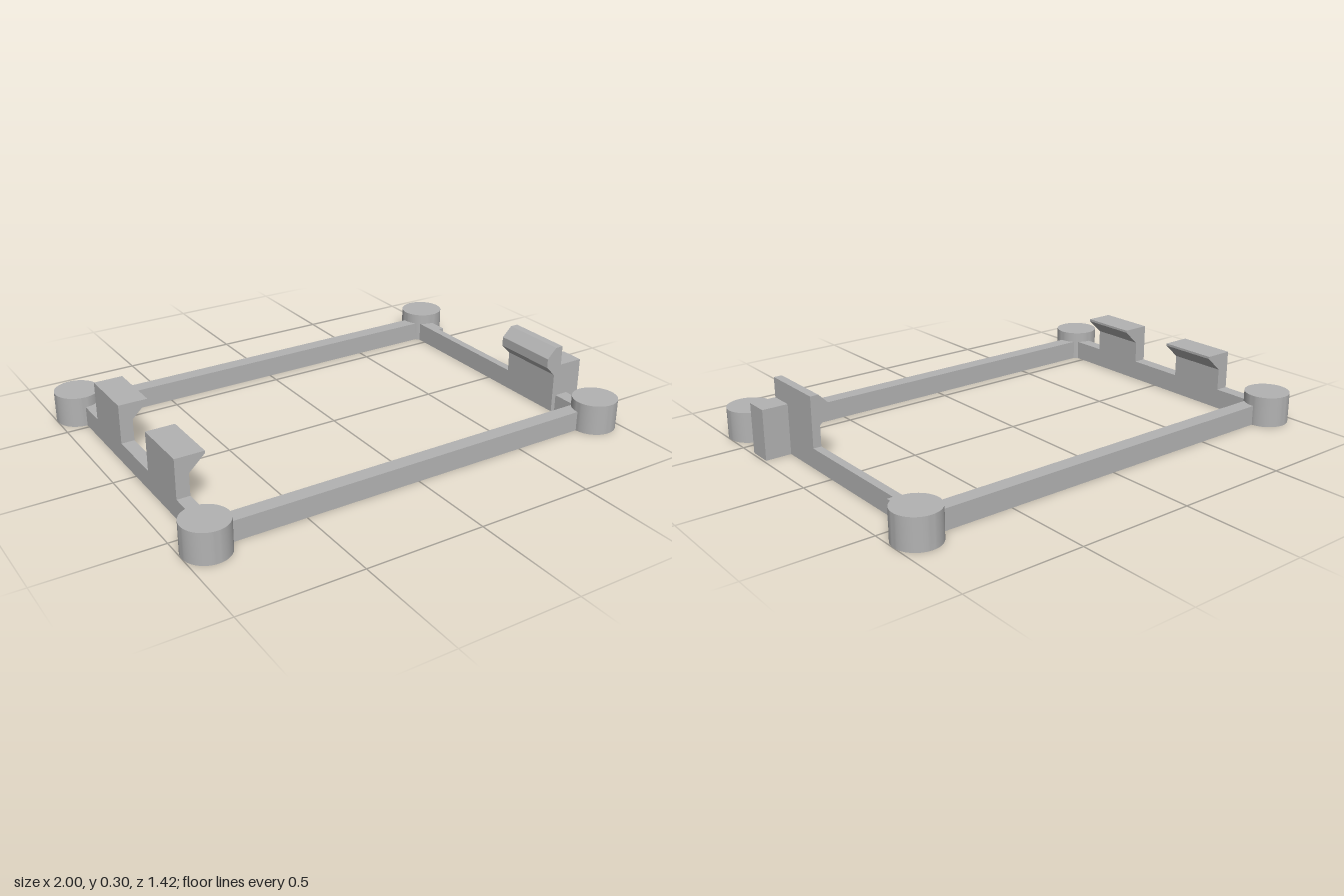
import * as THREE from 'three';
import { toCreasedNormals } from 'three/addons/utils/BufferGeometryUtils.js';

export function createModel() {
  const group = new THREE.Group();
  group.name = 'mountingFrame';
  const grey = new THREE.MeshStandardMaterial({ color: 0xb3b3b3 });
  grey.name = 'plainGrey';

  const add = (name, geometry) => {
    const mesh = new THREE.Mesh(geometry, grey);
    mesh.name = name;
    group.add(mesh);
    return mesh;
  };

  // Box given by its limits on each axis
  const block = (name, x0, x1, y0, y1, z0, z1) =>
    add(name, new THREE.BoxGeometry(x1 - x0, y1 - y0, z1 - z0))
      .position.set((x0 + x1) / 2, (y0 + y1) / 2, (z0 + z1) / 2);

  // Profile in x and y, drawn out along z
  const extrude = (name, points, z0, z1) => {
    const shape = new THREE.Shape(points.map(([x, y]) => new THREE.Vector2(x, y)));
    add(name, new THREE.ExtrudeGeometry(shape, { depth: z1 - z0, bevelEnabled: false }))
      .position.z = z0;
  };

  const railTop = 0.085;
  const postX = 0.905, postZ = 0.613;

  // Corner posts with a blind screw hole underneath
  const postProfile = [[0, 0.1], [0.034, 0.1], [0.034, 0], [0.095, 0], [0.095, 0.13], [0, 0.13]]
    .map(([r, y]) => new THREE.Vector2(r, y));
  const postGeometry = toCreasedNormals(new THREE.LatheGeometry(postProfile, 64), 0.6);
  for (const [sx, xName] of [[1, 'Left'], [-1, 'Right']]) {
    for (const [sz, zName] of [[1, 'front'], [-1, 'back']]) {
      add(`${zName}${xName}Post`, postGeometry).position.set(sx * postX, 0, sz * postZ);
    }
  }

  // Long rails
  block('frontRail', -0.855, 0.855, 0, railTop, 0.55, 0.615);
  block('backRail', -0.855, 0.855, 0, railTop, -0.62, -0.555);

  // Right rail with its two hooks
  block('rightRail', -0.905, -0.85, 0, railTop, -0.56, 0.56);
  const hook = [[-0.905, railTop], [-0.85, railTop], [-0.85, 0.178], [-0.783, 0.24],
    [-0.783, 0.25], [-0.905, 0.25]];
  extrude('rightHookFront', hook, 0.128, 0.38);
  extrude('rightHookBack', hook, -0.385, -0.13);

  // Left rail, free at the front end, with thicker stubs by the posts
  block('leftRail', 0.845, 0.88, 0, railTop, -0.43, 0.13);
  block('leftStubBack', 0.845, 0.905, 0, railTop, -0.56, -0.43);
  block('leftStubFront', 0.845, 0.905, 0, railTop, 0.443, 0.56);

  // Spring latch and its finger tab
  extrude('leftLatch', [[0.845, 0], [0.88, 0], [0.88, 0.298], [0.845, 0.298],
    [0.802, 0.255], [0.802, 0.215], [0.845, 0.172]], 0.13, 0.423);
  block('latchTab', 0.88, 0.99, 0, 0.213, 0.32, 0.423);

  return group;
}
